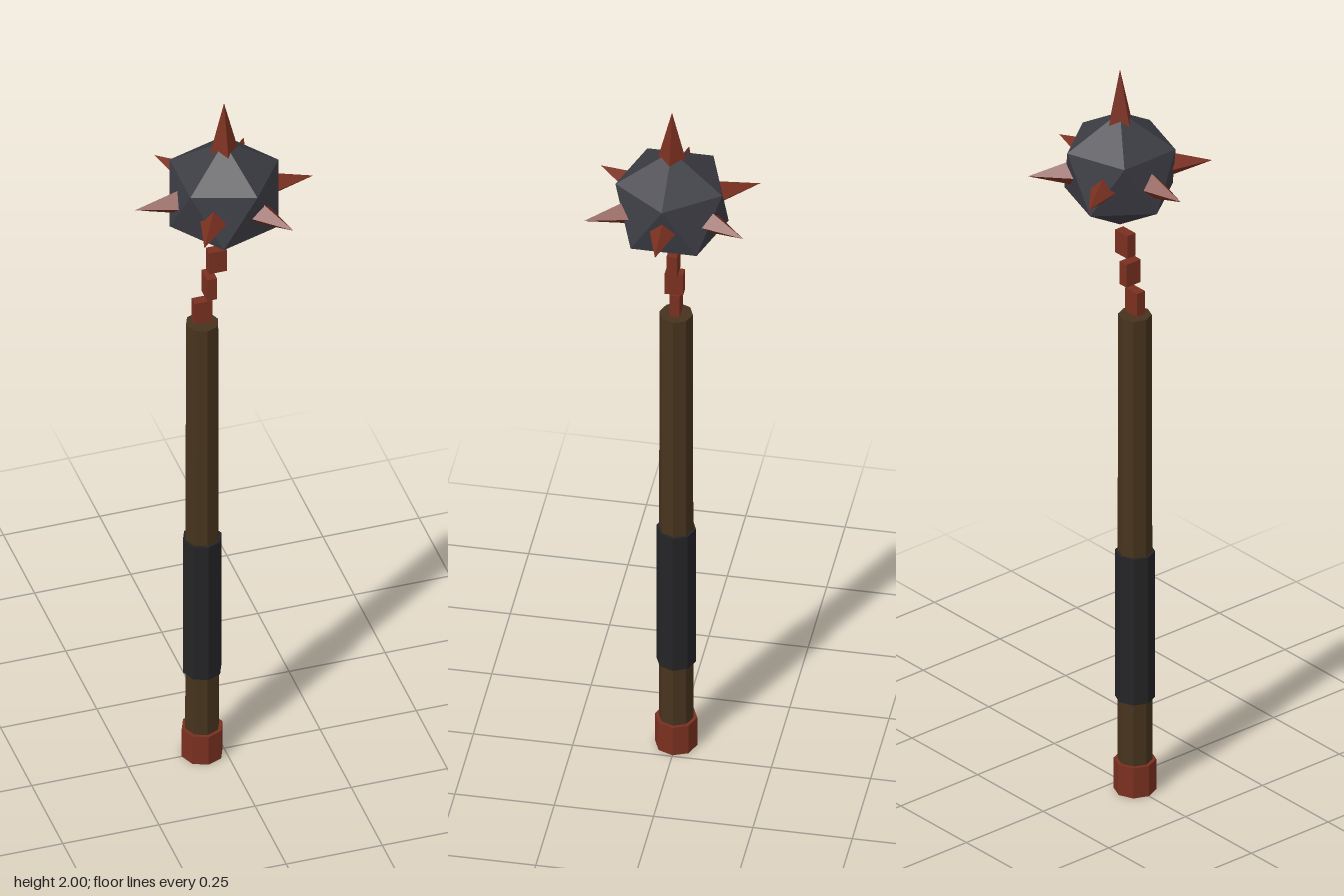
import * as THREE from 'three';

const mat = (name, color) => {
  const m = new THREE.MeshStandardMaterial({ color, flatShading: true });
  m.name = name;
  return m;
};

export function createModel() {
  const group = new THREE.Group();
  const wood = mat('dark wood', 0x47331d);
  const leather = mat('black leather', 0x242426);
  const iron = mat('dark iron', 0x3c3c44);
  const rust = mat('rusty metal', 0x7a3020);

  const add = (name, geometry, material, x, y, z = 0) => {
    const mesh = new THREE.Mesh(geometry, material);
    mesh.name = name;
    mesh.position.set(x, y, z);
    group.add(mesh);
    return mesh;
  };

  // Eight-sided handle parts, stacked along one axis
  const handleX = -0.057;
  const rod = (name, rTop, rBottom, y0, y1, material) =>
    add(name, new THREE.CylinderGeometry(rTop, rBottom, y1 - y0, 8), material, handleX, (y0 + y1) / 2);
  rod('handle', 0.042, 0.044, 0.04, 1.335, wood);
  rod('grip', 0.05, 0.05, 0.26, 0.67, leather);
  rod('pommel', 0.053, 0.053, 0, 0.085, rust);

  // Chain links, alternately turned, leading up to the head
  for (let i = 0; i < 3; i++) {
    const link = add('chainLink', new THREE.BoxGeometry(0.046, 0.064, 0.026), rust,
      handleX + i * 0.0185, 1.373 + i * 0.074);
    if (i === 1) link.rotation.y = Math.PI / 2;
  }

  // Faceted head, standing on one of its corners
  const headY = 1.722;
  const ball = new THREE.IcosahedronGeometry(0.158, 0);
  ball.rotateX(-Math.atan((1 + Math.sqrt(5)) / 2));
  ball.rotateY(Math.PI / 2);
  add('head', ball, iron, 0, headY);

  // One spike on top and six around the middle
  add('topSpike', new THREE.ConeGeometry(0.037, 0.15, 4), rust, 0, 1.925);
  const spike = new THREE.ConeGeometry(0.037, 0.12, 4);
  spike.rotateZ(-Math.PI / 2);
  spike.translate(0.172, 0, 0);
  for (let i = 0; i < 6; i++) {
    add('sideSpike', spike, rust, 0, headY).rotation.y = (i * Math.PI) / 3;
  }
  return group;
}
